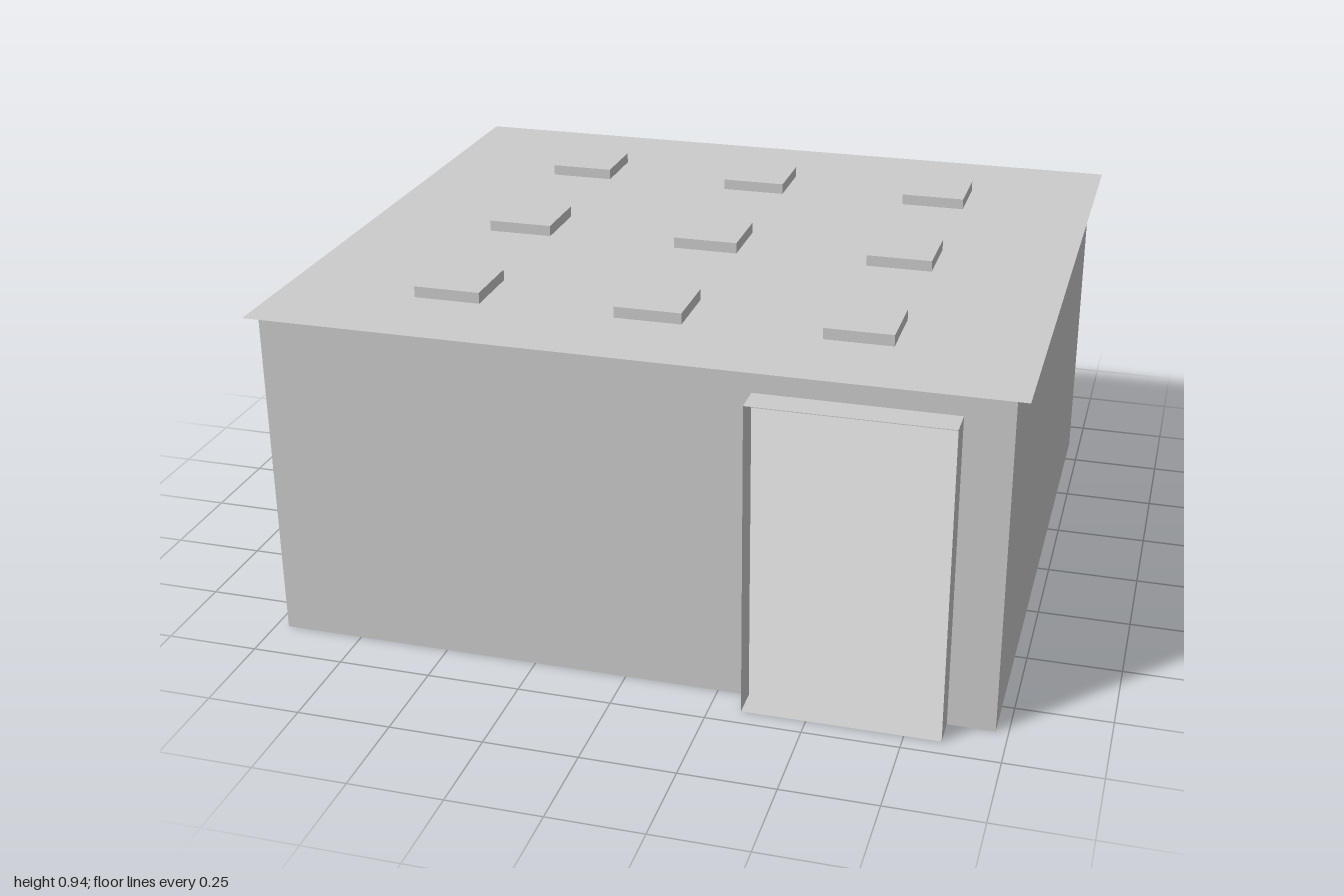
import * as THREE from 'three';

const material = new THREE.MeshStandardMaterial({ color: 0xcccccc, side: THREE.DoubleSide, flatShading: true });

// Flat rectangle in the xy plane with rectangular holes; each rect is [x0, y0, x1, y1]
function panel(rect, holes = []) {
  const trace = (path, [x0, y0, x1, y1]) =>
    path.moveTo(x0, y0).lineTo(x1, y0).lineTo(x1, y1).lineTo(x0, y1).closePath();
  const shape = trace(new THREE.Shape(), rect);
  for (const hole of holes) shape.holes.push(trace(new THREE.Path(), hole));
  return new THREE.ShapeGeometry(shape);
}

// Thin-skinned box that keeps only some sides (0..5 = +x, -x, +y, -y, +z, -z)
function shell([x0, y0, z0], [x1, y1, z1], sides) {
  const geo = new THREE.BoxGeometry(x1 - x0, y1 - y0, z1 - z0);
  const index = Array.from(geo.index.array);
  geo.setIndex(sides.flatMap((s) => index.slice(s * 6, s * 6 + 6)));
  geo.clearGroups();
  return geo.translate((x0 + x1) / 2, (y0 + y1) / 2, (z0 + z1) / 2);
}

export function createModel() {
  const group = new THREE.Group();
  const add = (name, geometry) => {
    const mesh = new THREE.Mesh(geometry, material);
    mesh.name = name;
    group.add(mesh);
  };

  const X0 = -0.965, X1 = 0.968, Z = 0.868, H = 0.91, OUT = 0.948;
  const doorX = [0.332, 0.845];
  const windowsX = [[-0.81, -0.165], [0.2, 0.85]];
  const top = 0.85, sill = 0.22;

  // Floor and side walls
  add('floorAndSideWalls', shell([X0, 0, -Z], [X1, H, Z], [0, 1, 3]));

  // Front wall with the doorway, drawn as an outline since the doorway reaches the floor
  const front = new THREE.Shape();
  front.moveTo(X0, 0).lineTo(doorX[0], 0).lineTo(doorX[0], top).lineTo(doorX[1], top)
    .lineTo(doorX[1], 0).lineTo(X1, 0).lineTo(X1, H).lineTo(X0, H).closePath();
  add('frontWall', new THREE.ShapeGeometry(front).translate(0, 0, Z));

  // Back wall with two window openings
  const openings = windowsX.map(([a, b]) => [a, sill, b, top]);
  add('backWall', panel([X0, 0, X1, H], openings).rotateY(Math.PI).scale(-1, 1, 1).translate(0, 0, -Z));

  // Protruding open frames
  add('doorFrame', shell([doorX[0], 0, Z], [doorX[1], top, OUT], [0, 1, 2, 3]));
  for (const [a, b] of windowsX) {
    add('windowFrame', shell([a, sill, -OUT], [b, top, -Z], [0, 1, 2, 3]));
  }

  // Thin overhanging roof, open beneath a three by three grid of skylights
  const r = 0.09, steps = [-0.545, 0, 0.545];
  const holes = [];
  for (const x of steps) {
    for (const z of steps) {
      holes.push([x - r, -z - r, x + r, -z + r]);
      add('skylight', shell([x - r, H, z - r], [x + r, H + 0.03, z + r], [0, 1, 2, 4, 5]));
    }
  }
  add('roof', panel([-1, -0.888, 1, 0.903], holes).rotateX(-Math.PI / 2).translate(0, H, 0));

  return group;
}
